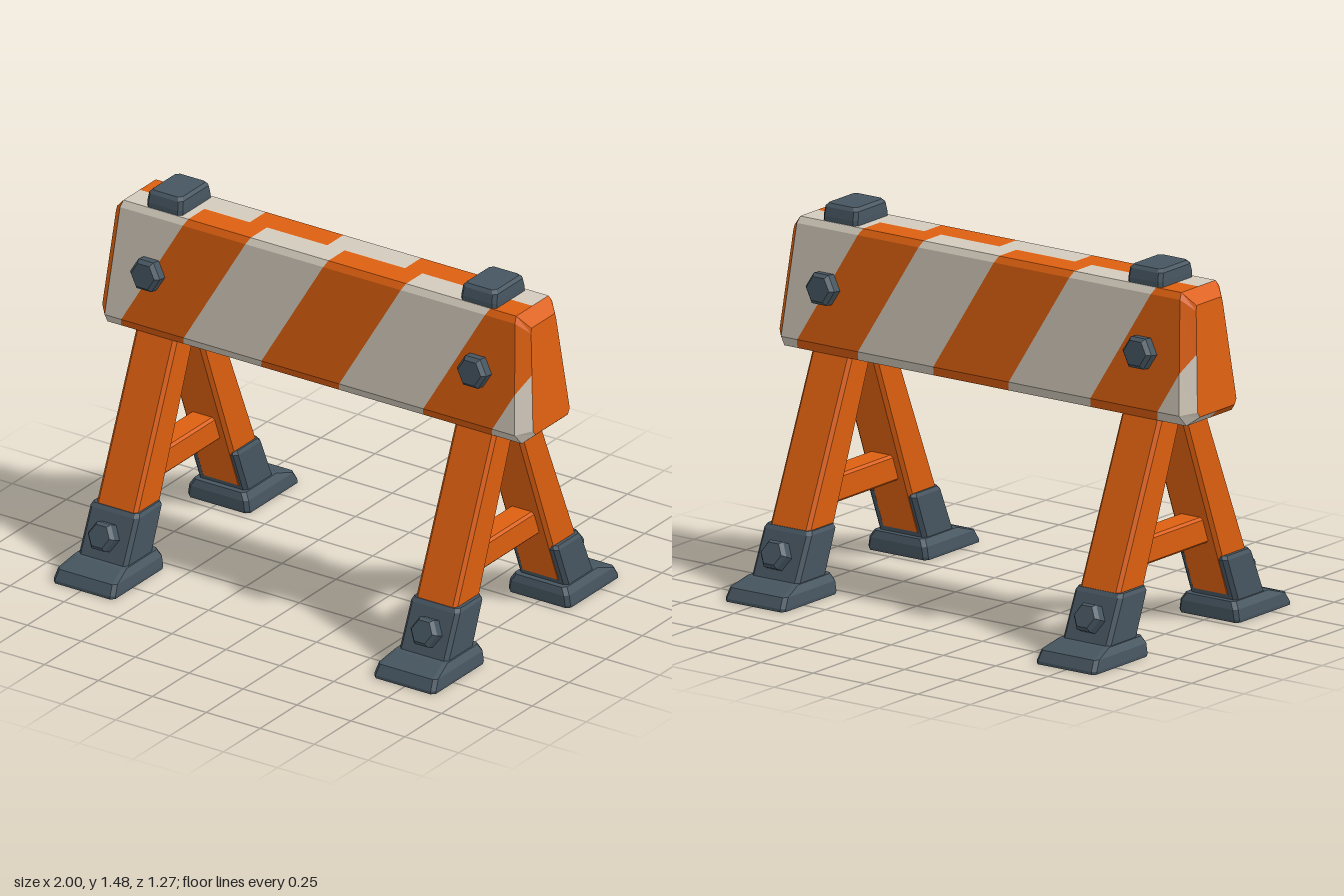
import * as THREE from 'three';

const flat = (color, name) => {
  const m = new THREE.MeshStandardMaterial({ color });
  m.name = name;
  return m;
};

// Fans a list of convex polygons into a flat-faced geometry
function fromPolygons(polys) {
  const pos = [];
  for (const p of polys)
    for (let i = 1; i < p.length - 1; i++) pos.push(...p[0], ...p[i], ...p[i + 1]);
  const g = new THREE.BufferGeometry();
  g.setAttribute('position', new THREE.Float32BufferAttribute(pos, 3));
  g.computeVertexNormals();
  return g;
}

// Stacks chamfered rectangles; each ring is [y, half width in x, z min, z max]
function loft(rings, c = 0.012) {
  const loops = rings.map(([y, h, a, b]) => [
    [h - c, y, b], [h, y, b - c], [h, y, a + c], [h - c, y, a],
    [c - h, y, a], [-h, y, a + c], [-h, y, b - c], [c - h, y, b],
  ]);
  const polys = [loops[loops.length - 1], [...loops[0]].reverse()];
  for (let r = 0; r + 1 < loops.length; r++)
    for (let i = 0; i < 8; i++) {
      const j = (i + 1) % 8;
      polys.push([loops[r][i], loops[r][j], loops[r + 1][j], loops[r + 1][i]]);
    }
  return fromPolygons(polys);
}

// Keeps the part of a polygon where f >= 0
function clip(poly, f) {
  const out = [];
  poly.forEach((p, i) => {
    const q = poly[(i + 1) % poly.length], a = f(p), b = f(q);
    if (a >= 0) out.push(p);
    if (a * b < 0) out.push(p.map((v, k) => v + (q[k] - v) * a / (a - b)));
  });
  return out;
}

// Front half of the beam, cut into slanted stripes
function beamHalf() {
  // Section points as [x, y, z]: edge of the long faces, then edge of the end face
  const inner = [[0.91, 1.41, 0], [0.91, 1.41, 0.11], [0.915, 1.385, 0.126],
    [0.95, 0.94, 0.18], [0.96, 0.895, 0.145], [0.96, 0.895, 0]];
  const outer = [[0.96, 1.36, 0], [0.96, 1.36, 0.08], [0.962, 1.34, 0.085],
    [0.998, 0.95, 0.125], [1, 0.93, 0.11], [1, 0.93, 0]];
  const flip = p => [-p[0], p[1], p[2]];
  const striped = [], orange = [], white = [];
  for (let i = 0; i < 5; i++) {
    const a = inner[i], b = inner[i + 1];
    striped.push([a, b, flip(b), flip(a)]);
    const chamfer = [a, b, outer[i + 1], outer[i]];
    striped.push(chamfer);
    orange.push(chamfer.map(flip));
  }
  orange.push(outer, outer.map(flip));

  const slant = p => p[0] + 0.56 * (1.41 - p[1]);
  const cuts = [-2, -0.97, -0.61, -0.32, 0.04, 0.4, 0.79, 1.11, 2];
  for (const poly of striped)
    for (let i = 0; i + 1 < cuts.length; i++) {
      const piece = clip(clip(poly, p => slant(p) - cuts[i]), p => cuts[i + 1] - slant(p));
      if (piece.length > 2) (i % 2 ? white : orange).push(piece);
    }

  // Turn every face outward from the middle of the beam
  const outward = poly => {
    const [a, b, c] = poly.map(p => new THREE.Vector3(...p));
    const n = b.clone().sub(a).cross(c.clone().sub(a));
    return n.dot(a.sub(new THREE.Vector3(0, 1.15, 0))) < 0 ? [...poly].reverse() : poly;
  };
  return [fromPolygons(orange.map(outward)), fromPolygons(white.map(outward))];
}

// Six-sided bolt head with a bevelled top, pointing along +y
function boltHead(r) {
  const profile = [[r, -0.02], [r, 0.035], [r * 0.78, 0.052], [0, 0.052]]
    .map(p => new THREE.Vector2(...p));
  const g = new THREE.LatheGeometry(profile, 6, Math.PI / 2).toNonIndexed();
  g.computeVertexNormals();
  return g;
}

export function createModel() {
  const orange = flat(0xdc5f10, 'orange paint');
  const white = flat(0xd3cabb, 'off-white paint');
  const grey = flat(0x465560, 'dark grey rubber');

  const model = new THREE.Group();
  model.name = 'barricade';
  const add = (parent, name, geometry, material, x = 0, y = 0, z = 0) => {
    const m = new THREE.Mesh(geometry, material);
    m.name = name;
    m.position.set(x, y, z);
    parent.add(m);
    return m;
  };

  const [orangeStripes, whiteStripes] = beamHalf();
  const leg = loft([[0.1, 0.095, 0.303, 0.483], [1.0, 0.095, -0.04, 0.1]], 0.014);
  const base = loft([[0, 0.142, 0.285, 0.635], [0.012, 0.143, 0.28, 0.635],
    [0.052, 0.137, 0.28, 0.612], [0.08, 0.12, 0.29, 0.525]], 0.015);
  const sleeve = loft([[0.06, 0.113, 0.322, 0.512], [0.252, 0.113, 0.246, 0.427],
    [0.267, 0.106, 0.25, 0.415]], 0.015);
  const crossbar = loft([[0.32, 0.045, -0.27, 0.27], [0.33, 0.055, -0.27, 0.27],
    [0.42, 0.055, -0.25, 0.25], [0.43, 0.045, -0.25, 0.25]], 0.004);
  const cap = loft([[1.39, 0.082, -0.108, 0.108], [1.43, 0.082, -0.108, 0.108],
    [1.465, 0.079, -0.1, 0.1], [1.478, 0.068, -0.088, 0.088]], 0.014);
  const beamBolt = boltHead(0.069), footBolt = boltHead(0.062);

  // The back half is the front half turned around
  for (const [name, turn] of [['frontHalf', 0], ['backHalf', Math.PI]]) {
    const half = new THREE.Group();
    half.name = name;
    half.rotation.y = turn;
    model.add(half);
    add(half, 'beamOrangeStripes', orangeStripes, orange);
    add(half, 'beamWhiteStripes', whiteStripes, white);
    for (const s of [-1, 1]) {
      add(half, 'leg', leg, orange, s * 0.74);
      add(half, 'footBase', base, grey, s * 0.743);
      add(half, 'footSleeve', sleeve, grey, s * 0.743);
      add(half, 'footBolt', footBolt, grey, s * 0.748, 0.165, 0.468).rotation.x = 1.17;
      add(half, 'beamBolt', beamBolt, grey, s * 0.757, 1.158, 0.154).rotation.x = 1.45;
    }
  }

  // Parts shared by both halves
  for (const s of [-1, 1]) {
    add(model, 'crossbar', crossbar, orange, s * 0.74);
    add(model, 'topCap', cap, grey, s * 0.728);
  }
  return model;
}
